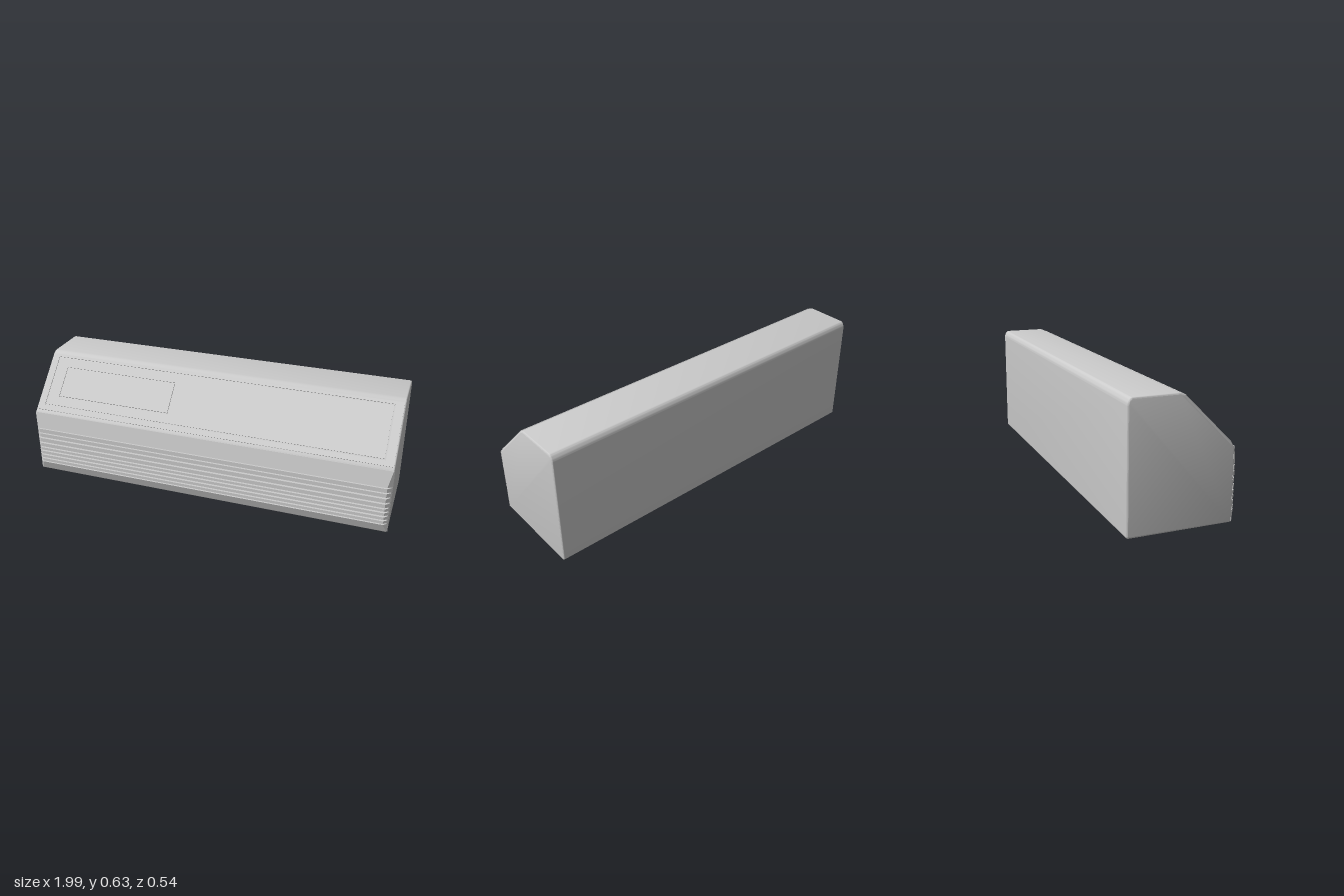
import * as THREE from 'three';
import { toCreasedNormals } from 'three/addons/utils/BufferGeometryUtils.js';

const material = new THREE.MeshStandardMaterial({ color: 0xcccccc });

function addMesh(parent, geometry, name) {
  const mesh = new THREE.Mesh(toCreasedNormals(geometry, 0.6), material);
  mesh.name = name;
  parent.add(mesh);
  return mesh;
}

// Closed outline whose corners [a, b, radius] are rounded
function roundedOutline(corners) {
  const shape = new THREE.Shape();
  const n = corners.length;
  corners.forEach(([a, b, r], i) => {
    const p = new THREE.Vector2(a, b);
    const toward = ([u, v]) => new THREE.Vector2(u, v).sub(p).setLength(r).add(p);
    const start = toward(corners[(i + n - 1) % n]);
    const end = toward(corners[(i + 1) % n]);
    if (i === 0) shape.moveTo(start.x, start.y);
    else shape.lineTo(start.x, start.y);
    shape.quadraticCurveTo(a, b, end.x, end.y);
  });
  shape.closePath();
  return shape;
}

// Sweep a (z, y) section along x
function sweepAcross(shape, width, bevel) {
  const geometry = new THREE.ExtrudeGeometry(shape, {
    depth: width - 2 * bevel, curveSegments: 5, bevelEnabled: bevel > 0,
    bevelSize: bevel, bevelOffset: -bevel, bevelThickness: bevel, bevelSegments: 3,
  });
  geometry.translate(0, 0, bevel - width / 2);
  geometry.rotateY(-Math.PI / 2);
  return geometry;
}

function rectangle(Type, x0, x1, y0, y1) {
  const path = new Type();
  path.moveTo(x0, y0);
  path.lineTo(x1, y0);
  path.lineTo(x1, y1);
  path.lineTo(x0, y1);
  path.closePath();
  return path;
}

// Grille bar whose ends are mitred as they come forward
function grilleBar(section) {
  const shape = new THREE.Shape(section.map(([z, y]) => new THREE.Vector2(z, y)));
  const geometry = sweepAcross(shape, 2, 0);
  const p = geometry.attributes.position;
  for (let i = 0; i < p.count; i++) {
    p.setX(i, Math.sign(p.getX(i)) * (0.993 - 1.1 * (p.getZ(i) - 0.254)));
  }
  geometry.computeVertexNormals();
  return geometry;
}

export function createModel() {
  const model = new THREE.Group();
  model.name = 'consoleUnit';

  // Main casing with a sloping upper front
  const casing = roundedOutline([
    [-0.271, 0, 0.012], [0.256, 0, 0.012], [0.256, 0.363, 0.02],
    [-0.014, 0.633, 0.02], [-0.256, 0.633, 0.012], [-0.271, 0.608, 0.012],
  ]);
  addMesh(model, sweepAcross(casing, 1.992, 0.008), 'casing');

  // Front grille: sloped blocks above and below a stack of bars
  const grille = new THREE.Group();
  grille.name = 'grille';
  model.add(grille);
  const back = 0.25, front = 0.273;
  addMesh(grille, grilleBar([[back, 0.276], [front, 0.276], [0.255, 0.365], [back, 0.365]]), 'grilleTop');
  addMesh(grille, grilleBar([[back, 0.006], [0.255, 0.006], [front, 0.055], [back, 0.055]]), 'grilleBottom');
  const bars = [
    [0.247, 0.27], [0.219, 0.24], [0.187, 0.21], [0.157, 0.178],
    [0.135, 0.149], [0.11, 0.126], [0.085, 0.101], [0.062, 0.077],
  ];
  for (const [y0, y1] of bars) {
    addMesh(grille, grilleBar([[back, y0], [front, y0], [front, y1], [back, y1]]), 'grilleBar');
  }

  // Sloping fascia: plates separated by fine grooves
  const fascia = new THREE.Group();
  fascia.name = 'fascia';
  fascia.position.set(0, 0.502, 0.117);
  fascia.rotation.x = -Math.PI / 4;
  model.add(fascia);
  const addPlate = (shape, depth, name) =>
    addMesh(fascia, new THREE.ExtrudeGeometry(shape, { depth, bevelEnabled: false }), name);
  const gap = 0.007;

  const frame = rectangle(THREE.Shape, -0.988, 0.988, -0.174, 0.166);
  frame.holes.push(rectangle(THREE.Path, -0.95, 0.945, -0.146, 0.15));
  addPlate(frame, 0.004, 'fasciaFrame');

  const panel = rectangle(THREE.Shape, -0.95 + gap, 0.945 - gap, -0.146 + gap, 0.15 - gap);
  panel.holes.push(rectangle(THREE.Path, -0.88, -0.22, -0.09, 0.093));
  addPlate(panel, 0.004, 'fasciaPanel');

  const display = rectangle(THREE.Shape, -0.88 + gap, -0.22 - gap, -0.09 + gap, 0.093 - gap);
  addPlate(display, 0.006, 'display');

  return model;
}
